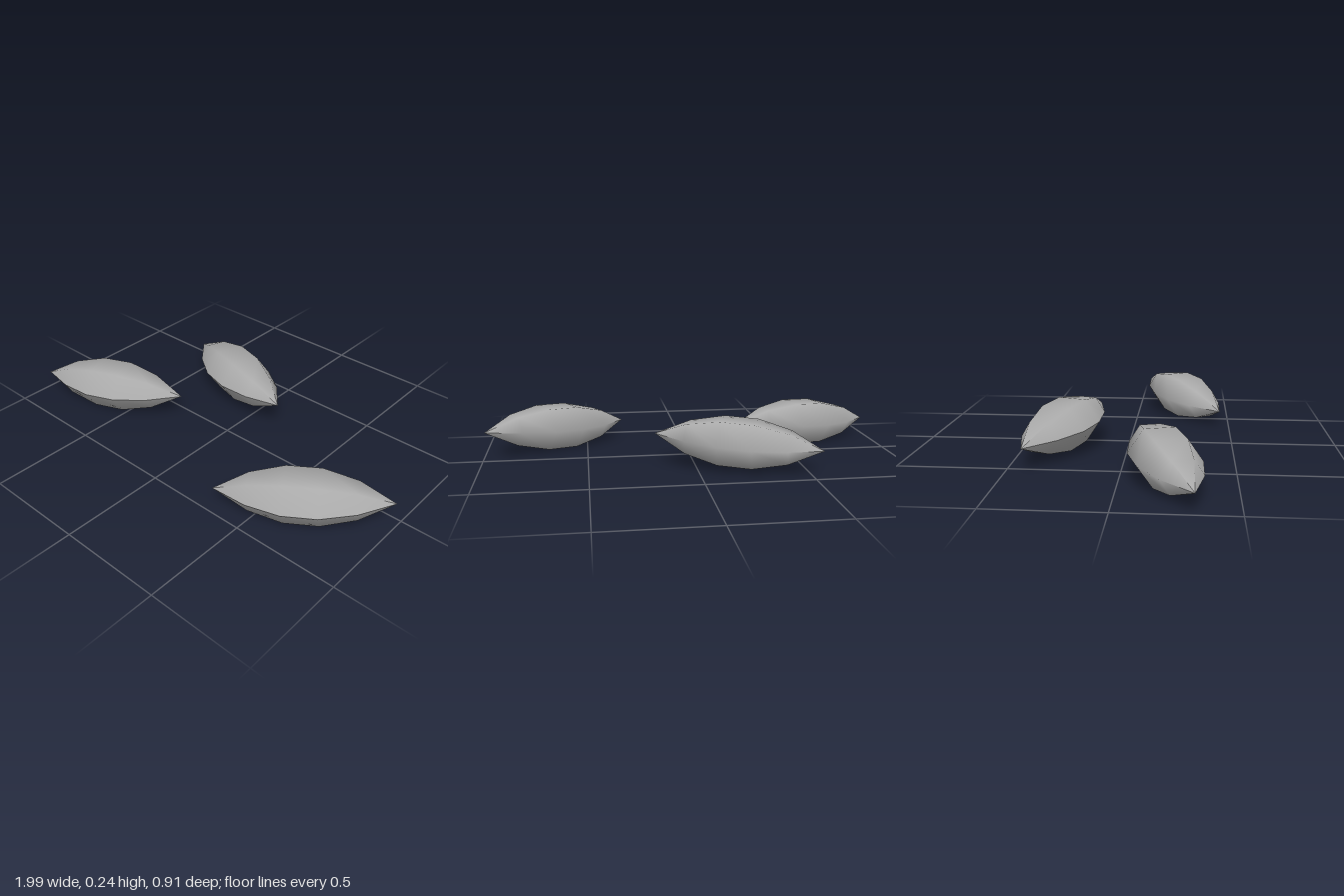
import * as THREE from 'three';

const HALF_LENGTH = 0.396;
// Half-width and half-height of each ring, from tip to tip
const WIDTHS = [0, 0.093, 0.142, 0.142, 0.093, 0];
const HEIGHTS = [0, 0.081, 0.118, 0.118, 0.081, 0];

// Six-sided spindle along x, with its hard seam facing +z
function grainGeometry() {
  const geo = new THREE.CylinderGeometry(1, 1, 2 * HALF_LENGTH, 6, 5, true);
  geo.rotateZ(-Math.PI / 2);
  const pos = geo.attributes.position;
  for (let i = 0; i < pos.count; i++) {
    const ring = Math.round((pos.getX(i) / HALF_LENGTH + 1) * 2.5);
    pos.setY(i, pos.getY(i) * HEIGHTS[ring]);
    pos.setZ(i, pos.getZ(i) * WIDTHS[ring]);
  }
  geo.computeVertexNormals();
  return geo;
}

export function createModel() {
  const group = new THREE.Group();
  group.name = 'grains';
  const grey = new THREE.MeshStandardMaterial({ color: 0xaaaaaa });
  grey.name = 'grey';
  const geo = grainGeometry();

  // Centre and heading of each grain
  const grains = [
    ['leftGrain', 0.653, 0.108, 0.25, 0.529],
    ['rightGrain', -0.623, 0.108, 0.194, 0.322],
    ['backGrain', -0.185, 0.132, -0.293, -0.34],
  ];
  for (const [name, x, y, z, yaw] of grains) {
    const grain = new THREE.Mesh(geo, grey);
    grain.name = name;
    grain.position.set(x, y, z);
    grain.rotation.set(0, yaw, 0.057);
    group.add(grain);
  }
  return group;
}
